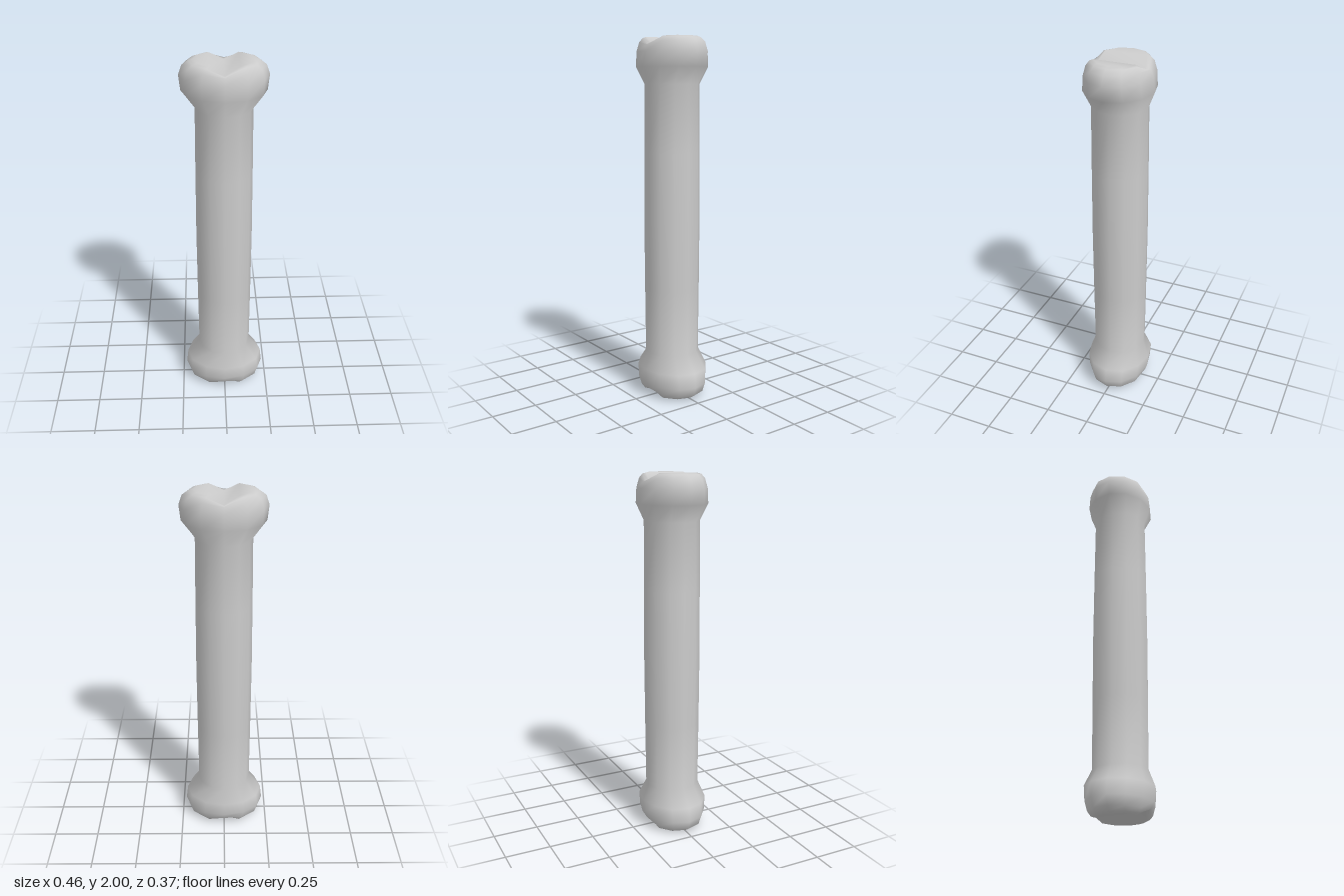
import * as THREE from 'three';

const SIDES = 12;

// Upper half, as rings of [height, half width x, half depth z]
const upper = [
  [1.38, 0.153, 0.153],
  [1.75, 0.15, 0.15],
  [1.84, 0.22, 0.185],
  [1.92, 0.229, 0.177],
  [1.97, 0.212, 0.163],
  [1.992, 0.18, 0.148],
  [2.0, 0.155, 0.13],
];
// The lower half mirrors the upper one
const rings = [
  ...upper.map(([y, rx, rz]) => [2 - y, rx, rz]).reverse(),
  [1, 0.155, 0.155],
  ...upper,
];

// Notch between the two knuckles, running front to back
function notch(y, x) {
  const limit = 0.955 + 0.55 * Math.abs(x);
  return 1 + Math.max(-limit, Math.min(limit, y - 1));
}

function boneGeometry() {
  const positions = [];
  const index = [];
  for (const [y, rx, rz] of rings) {
    for (let i = 0; i < SIDES; i++) {
      const a = (i / SIDES) * Math.PI * 2;
      const x = Math.cos(a) * rx;
      positions.push(x, notch(y, x), Math.sin(a) * rz);
    }
  }

  // Outer skin between neighbouring rings
  for (let r = 0; r < rings.length - 1; r++) {
    for (let i = 0; i < SIDES; i++) {
      const a = r * SIDES + i;
      const b = r * SIDES + ((i + 1) % SIDES);
      index.push(a, a + SIDES, b, b, a + SIDES, b + SIDES);
    }
  }

  // End caps: strips across the bone, so the notch folds cleanly
  const cap = (start, flip) => {
    const face = (a, b, c) => {
      const [i, j, k] = [a, b, c].map((n) => start + (n % SIDES));
      if (i === j || j === k || i === k) return;
      index.push(...(flip ? [i, k, j] : [i, j, k]));
    };
    for (let k = 0; k < SIDES / 2; k++) {
      face(k, SIDES - k, k + 1);
      face(k + 1, SIDES - k, SIDES - k - 1);
    }
  };
  cap((rings.length - 1) * SIDES, false);
  cap(0, true);

  const geometry = new THREE.BufferGeometry();
  geometry.setAttribute('position', new THREE.Float32BufferAttribute(positions, 3));
  geometry.setIndex(index);
  geometry.computeVertexNormals();
  return geometry;
}

export function createModel() {
  const group = new THREE.Group();
  group.name = 'bone';
  const bone = new THREE.Mesh(
    boneGeometry(),
    new THREE.MeshStandardMaterial({ color: 0xcccccc })
  );
  bone.name = 'boneShaftWithKnuckles';
  group.add(bone);
  return group;
}
